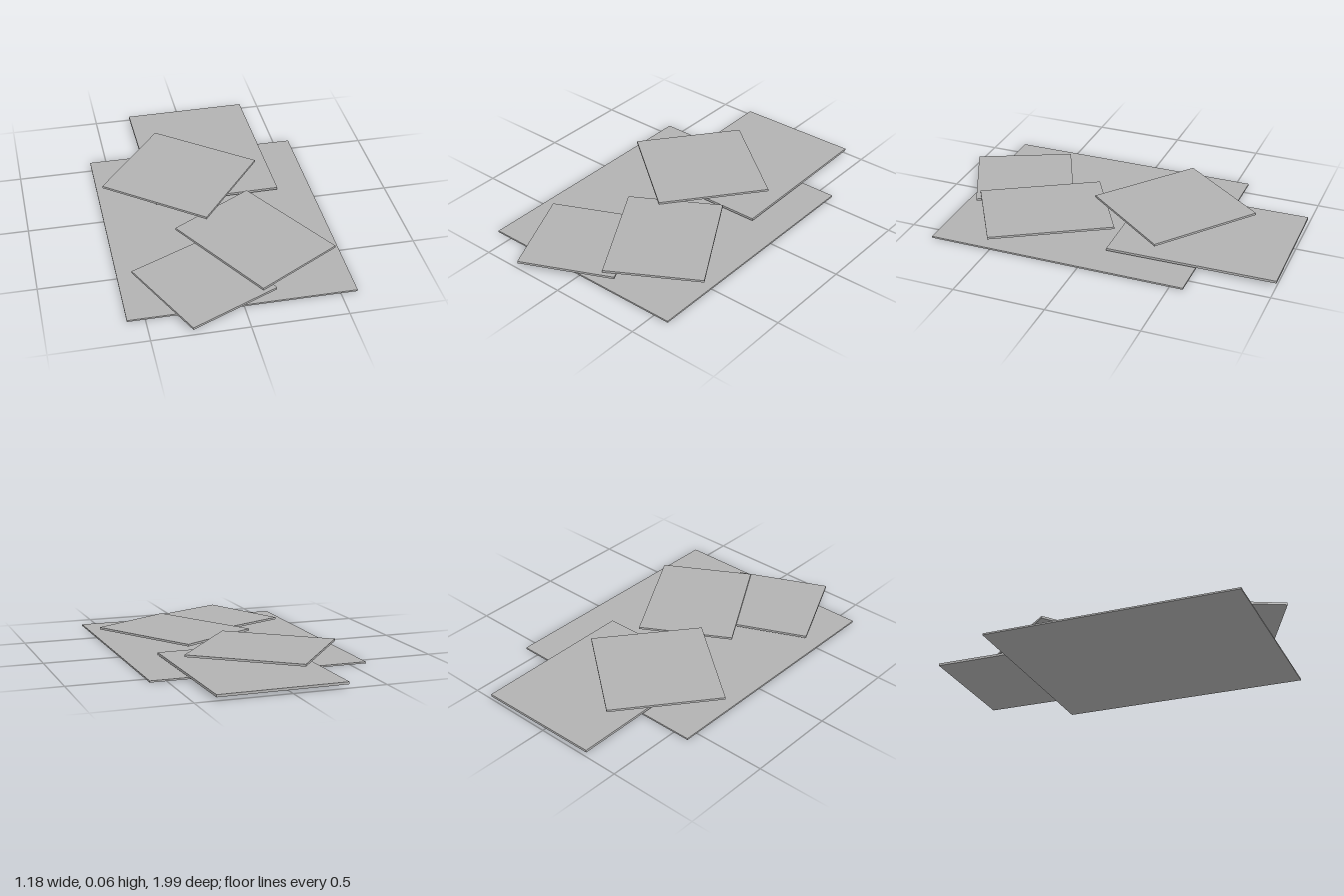
import * as THREE from 'three';

export function createModel() {
  const model = new THREE.Group();
  model.name = 'stackedPlates';

  const grey = new THREE.MeshStandardMaterial({ color: 0xb2b2b2 });
  grey.name = 'grey';

  // Flat rectangular plate: centre x/z, width, depth, bottom and top height, turn about y
  function addPlate(name, x, z, width, depth, bottom, top, turn) {
    const plate = new THREE.Mesh(new THREE.BoxGeometry(width, top - bottom, depth), grey);
    plate.name = name;
    plate.position.set(x, (bottom + top) / 2, z);
    plate.rotation.y = turn;
    model.add(plate);
  }

  // Large base sheet
  addPlate('baseSheet', -0.002, 0.135, 1.18, 1.412, 0, 0.009, 0);

  // Smaller sheets scattered on top, each a little higher
  addPlate('backSheet', 0.05, -0.538, 0.689, 0.913, 0.017, 0.03, 0.0125);
  addPlate('frontSheet', -0.166, 0.641, 0.519, 0.542, 0.029, 0.041, 0.432);
  addPlate('middleSheet', 0.164, 0.364, 0.522, 0.677, 0.042, 0.054, 0.53);
  addPlate('topSheet', -0.118, -0.285, 0.649, 0.615, 0.053, 0.065, -0.666);

  return model;
}
